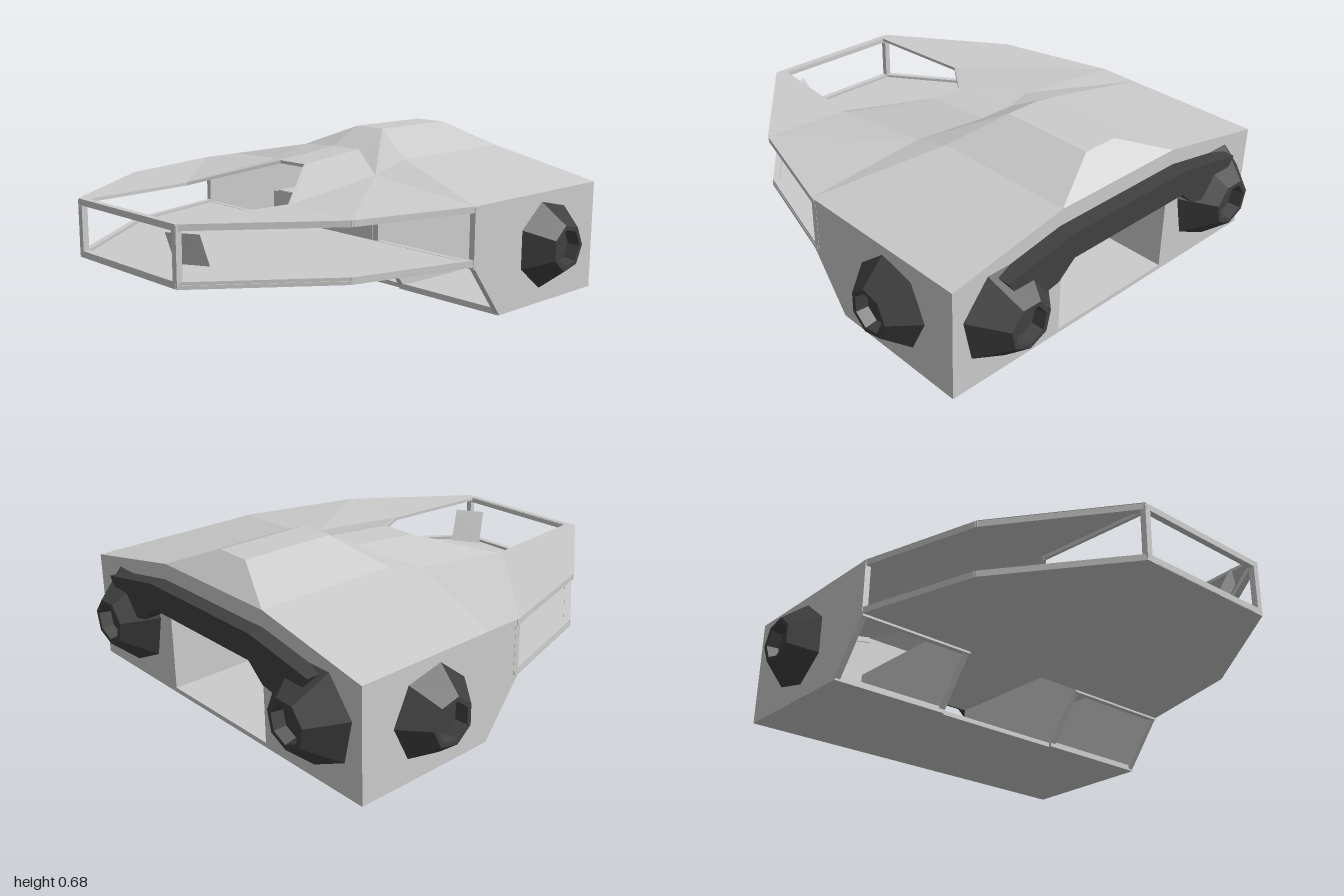
import * as THREE from 'three';

const grey = new THREE.MeshStandardMaterial({ color: 0xcccccc, flatShading: true, side: THREE.DoubleSide });
const dark = new THREE.MeshStandardMaterial({ color: 0x404040, flatShading: true, side: THREE.DoubleSide });

export function createModel() {
  const model = new THREE.Group();
  const add = (name, geometry, material = grey) => {
    const mesh = new THREE.Mesh(geometry, material);
    mesh.name = name;
    model.add(mesh);
    return mesh;
  };
  const mirror = ([x, y, z]) => [-x, y, z];

  // Square bar between two points, used for every frame and edge trim
  const bar = (name, a, b, w = 0.026) => {
    const p = new THREE.Vector3(...a), q = new THREE.Vector3(...b);
    const m = add(name, new THREE.BoxGeometry(w, w, p.distanceTo(q) + w * 0.6));
    m.position.copy(p).add(q).multiplyScalar(0.5);
    m.lookAt(q);
  };
  const bars = (name, pts, w) => pts.slice(1).forEach((p, i) => bar(name, pts[i], p, w));

  // Extruded flat shape with optional hole
  const plate = (pts, depth, hole) => {
    const s = new THREE.Shape(pts.map(p => new THREE.Vector2(...p)));
    if (hole) s.holes.push(new THREE.Path(hole.map(p => new THREE.Vector2(...p))));
    return new THREE.ExtrudeGeometry(s, { depth, bevelEnabled: false });
  };

  // Roof: ridge, shoulder and rim lines from rear to nose
  const ridge = [[0.08, 0.68, -0.76], [0.08, 0.68, -0.34], [0.08, 0.6, -0.19], [0.08, 0.57, 0.13]];
  const shoulder = [[0.32, 0.58, -0.87], [0.32, 0.58, -0.23], [0.32, 0.53, -0.05],
    [0.34, 0.475, 0.45], [0.3, 0.475, 0.97]];
  const rim = [[0.86, 0.475, -0.87], [0.86, 0.475, -0.23], [0.86, 0.475, -0.05],
    [0.715, 0.475, 0.48], [0.335, 0.475, 0.99]];
  const pos = [];
  const quad = (a, b, c, d) => pos.push(...a, ...b, ...c, ...a, ...c, ...d);
  const strip = (inner, outer) => {
    for (let i = 0; i < Math.min(inner.length, outer.length) - 1; i++) {
      const [a, b, c, d] = [inner[i], inner[i + 1], outer[i + 1], outer[i]];
      quad(a, b, c, d);
      quad(mirror(d), mirror(c), mirror(b), mirror(a));
    }
  };
  strip(ridge, shoulder);
  strip(shoulder, rim);
  for (let i = 0; i < 3; i++) quad(mirror(ridge[i]), mirror(ridge[i + 1]), ridge[i + 1], ridge[i]);
  quad(mirror(shoulder[0]), mirror(ridge[0]), ridge[0], shoulder[0]);
  quad(mirror(shoulder[4]), mirror(rim[4]), rim[4], shoulder[4]);
  const roof = new THREE.BufferGeometry();
  roof.setAttribute('position', new THREE.Float32BufferAttribute(pos, 3));
  roof.computeVertexNormals();
  add('roof', roof);

  // Cabin floor
  const outline = [[-0.86, 0.05], [-0.715, -0.48], [-0.335, -0.99], [0.335, -0.99], [0.715, -0.48], [0.86, 0.05]];
  const floor = add('cabinFloor', plate(outline, 0.015));
  floor.rotation.x = -Math.PI / 2;
  floor.position.y = 0.232;

  // Rear wall with tunnel opening
  const tunnelHole = [[-0.31, 0.02], [0.31, 0.02], [0.31, 0.37], [-0.31, 0.37]];
  const back = add('rearWall', plate([[-0.86, 0], [0.86, 0], [0.86, 0.475], [0.32, 0.58],
    [-0.32, 0.58], [-0.86, 0.475]], 0.02, tunnelHole));
  back.position.z = -0.87;

  // Underside and tunnel roof with its front wall
  const base = add('bottomPlate', new THREE.BoxGeometry(1.72, 0.02, 0.64));
  base.position.set(0, 0.01, -0.55);
  const ceiling = add('tunnelCeiling', new THREE.BoxGeometry(0.62, 0.015, 0.81));
  ceiling.position.set(0, 0.375, -0.455);
  const bulkhead = add('tunnelFrontWall', new THREE.BoxGeometry(0.62, 0.14, 0.015));
  bulkhead.position.set(0, 0.31, -0.055);

  // Bar along the nose of the rim, above and below the windows
  const low = p => [p[0], 0.247, p[2]];
  const inset = p => [p[0] - 0.012, 0.462, p[2] - 0.012];
  const top = rim.slice(2).map(inset);
  bar('noseRimBar', top[2], mirror(top[2]));
  bar('noseSillBar', low(top[2]), mirror(low(top[2])));
  bar('rearTopTrim', [0.845, 0.463, -0.857], [0.32, 0.567, -0.857]);
  bar('rearTopTrim', [-0.845, 0.463, -0.857], [-0.32, 0.567, -0.857]);
  bar('skylightFrontLip', [-0.3, 0.466, 0.966], [0.3, 0.466, 0.966], 0.014);
  bar('skylightRearLip', [-0.08, 0.562, 0.13], [0.08, 0.562, 0.13], 0.014);

  for (const s of [1, -1]) {
    const side = p => [p[0] * s, p[1], p[2]];
    // Hull flank and tunnel wall, drawn in side profile
    const flank = (name, x, height, thick) => {
      const g = plate([[0.87, 0], [0.23, 0], [0.05, 0.24], [0.05, height], [0.87, height]], thick);
      g.rotateY(Math.PI / 2);
      g.translate(x * s - thick / 2, 0, 0);
      add(name, g);
    };
    flank('hullFlank', 0.85, 0.475, 0.02);
    flank('tunnelWall', 0.325, 0.375, 0.03);

    // Window frames
    bars('windowRimBar', top.map(side));
    bars('windowSillBar', top.map(low).map(side));
    bar('nosePost', side(top[2]), side(low(top[2])));
    bar('flankPost', side(top[0]), side(low(top[0])));
    bar('lowerWindowTopBar', side([0.32, 0.235, -0.06]), side([0.85, 0.235, -0.06]));
    bar('lowerWindowBottomBar', side([0.32, 0.013, -0.23]), side([0.85, 0.013, -0.23]));
    bar('lowerWindowPost', side([0.847, 0.013, -0.23]), side([0.847, 0.235, -0.062]));
    bars('skylightSideLip', [[0.08, 0.562, 0.13], [0.34, 0.468, 0.45], [0.3, 0.468, 0.965]].map(side), 0.014);

    // Seven-sided thruster with a recessed nozzle
    const thruster = (name, r, h) => add(name, new THREE.LatheGeometry(
      [[r, 0], [0.1, h], [0.08, h], [0.07, h - 0.05], [0, h - 0.05]].map(p => new THREE.Vector2(...p)),
      7, Math.PI), dark);
    const sideThruster = thruster('sideThruster', 0.19, 0.11);
    sideThruster.rotation.z = -s * Math.PI / 2;
    sideThruster.position.set(0.86 * s, 0.25, -0.53);
    const rearThruster = thruster('rearThruster', 0.215, 0.13);
    rearThruster.rotation.x = -Math.PI / 2;
    rearThruster.position.set(0.6 * s, 0.27, -0.87);
  }

  // Dark engine duct arching over the tunnel
  const duct = add('engineDuct', plate([[-0.66, 0.45], [-0.33, 0.51], [0.33, 0.51], [0.66, 0.45],
    [0.56, 0.3], [0.4, 0.33], [0.32, 0.4], [-0.32, 0.4], [-0.4, 0.33], [-0.56, 0.3]], 0.07), dark);
  duct.position.z = -0.94;

  // Tilted cockpit screen
  const screen = new THREE.BufferGeometry();
  screen.setAttribute('position', new THREE.Float32BufferAttribute(
    [0.17, 0.28, 0.88, 0.295, 0.28, 0.81, 0.33, 0.42, 0.88, 0.21, 0.42, 0.95], 3));
  screen.setIndex([0, 2, 1, 0, 3, 2]);
  screen.computeVertexNormals();
  add('cockpitScreen', screen);

  return model;
}
